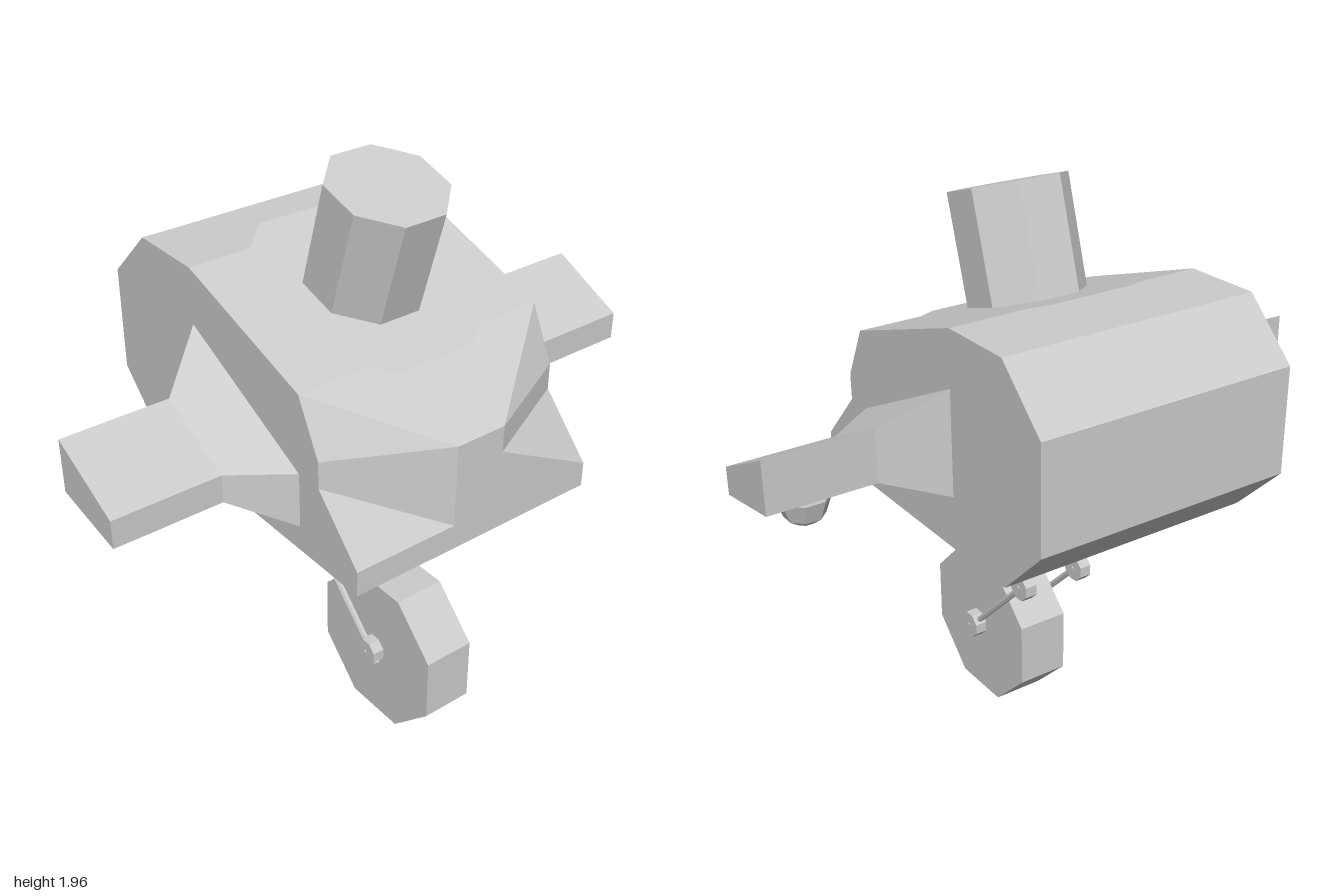
import * as THREE from 'three';

const grey = (side = THREE.FrontSide) =>
  new THREE.MeshStandardMaterial({ color: 0xcccccc, flatShading: true, side });

function mesh(name, geometry, material = grey()) {
  const m = new THREE.Mesh(geometry, material);
  m.name = name;
  return m;
}

// Flat-faced geometry from convex polygons, fanned from their first corner
function polyGeometry(polys) {
  const pos = [];
  for (const p of polys)
    for (let i = 1; i < p.length - 1; i++) pos.push(...p[0], ...p[i], ...p[i + 1]);
  const g = new THREE.BufferGeometry();
  g.setAttribute('position', new THREE.Float32BufferAttribute(pos, 3));
  g.computeVertexNormals();
  return g;
}

const mirrorZ = (polys) => polys.map((p) => p.map(([x, y, z]) => [x, y, -z]).reverse());
const at = (profile, z) => profile.map(([x, y]) => [x, y, z]);

// Strip of quads joining two sections, z1 behind z2
const skin = (a, b) => a.map((p, i) => {
  const j = (i + 1) % a.length;
  return [b[i], p, a[j], b[j]];
});

// Eight-sided prism with flats on the axes; r is the distance to a flat
function octagon(r, length) {
  const R = r / Math.cos(Math.PI / 8);
  return new THREE.CylinderGeometry(R, R, length, 8).rotateY(Math.PI / 8);
}

function rod(name, a, b, r) {
  const d = b.clone().sub(a);
  const m = mesh(name, new THREE.CylinderGeometry(r, r, d.length(), 6));
  m.position.copy(a).add(b).multiplyScalar(0.5);
  m.quaternion.setFromUnitVectors(new THREE.Vector3(0, 1, 0), d.normalize());
  return m;
}

function createHull() {
  const group = new THREE.Group();
  group.name = 'hull';
  const W = 0.455, N = 0.09;
  const side = [
    [-0.455, 0.915], [0.63, 0.915], [0.63, 1.0], [0.45, 1.19], [0.45, 1.28],
    [0.36, 1.46], [-0.185, 1.64], [-0.455, 1.64], [-0.64, 1.46], [-0.64, 1.1],
  ];
  const left = at(side, W), right = at(side, -W);
  const strips = skin(right, left).filter((_, i) => i === 1 || i > 4);
  // Chamfered nose cheek beside the narrow central snout
  const C = [0.63, 1.28, N], E = [0.63, 1.19, N], H = [0.63, 1.0, N];
  const half = [
    left,
    [left[5], left[4], C],
    [left[4], left[3], E, C],
    [left[3], left[2], H, E],
  ];
  const snout = [
    [left[5], C, [0.63, 1.28, -N], right[5]],
    [H, [0.63, 1.0, -N], [0.63, 1.28, -N], C],
  ];
  group.add(mesh('hullShell', polyGeometry([...strips, ...snout, ...half, ...mirrorZ(half)])));

  // Underside with the slot for the wheel struts
  const floor = new THREE.Shape();
  floor.moveTo(-0.455, -W).lineTo(0.63, -W).lineTo(0.63, W).lineTo(-0.455, W).closePath();
  const slot = new THREE.Path();
  slot.moveTo(-0.21, -0.13).lineTo(-0.21, 0.13).lineTo(0.32, 0.13).lineTo(0.32, -0.13).closePath();
  floor.holes.push(slot);
  const under = mesh('underside', new THREE.ShapeGeometry(floor).rotateX(Math.PI / 2));
  under.position.y = 0.915;
  const recess = mesh('strutSlot', new THREE.BoxGeometry(0.53, 0.1, 0.26), grey(THREE.BackSide));
  recess.position.set(0.055, 0.965, 0);
  group.add(under, recess);
  return group;
}

function createWings() {
  const root = [[-0.185, 1.095], [0.36, 1.0], [0.36, 1.19], [-0.185, 1.455]];
  const arm = [[-0.045, 1.14], [0.225, 1.095], [0.225, 1.19], [-0.045, 1.32]];
  const sections = [at(root, 0.45), at(arm, 0.635), at(arm, 1)];
  const polys = [
    ...skin(sections[0], sections[1]), ...skin(sections[1], sections[2]), sections[2],
  ];
  // Small faceted pod hanging under each wing
  const podProfile = [[0, -0.095], [0.035, -0.09], [0.065, -0.068], [0.09, 0], [0.08, 0.03]]
    .map(([x, y]) => new THREE.Vector2(x, y));
  const group = new THREE.Group();
  group.name = 'wings';
  for (const s of [1, -1]) {
    const label = s > 0 ? 'front' : 'rear';
    group.add(mesh(label + 'Wing', polyGeometry(s > 0 ? polys : mirrorZ(polys))));
    const pod = mesh(label + 'WingPod', new THREE.LatheGeometry(podProfile, 8), grey(THREE.DoubleSide));
    pod.rotation.y = Math.PI / 8;
    pod.position.set(0.09, 1.1, s * 0.82);
    group.add(pod);
  }
  return group;
}

function createTurret() {
  const group = new THREE.Group();
  group.name = 'turret';
  // Thin octagonal plate lying on the sloping roof
  const R = 0.36 / Math.cos(Math.PI / 8);
  const plate = mesh('turretPlate',
    new THREE.CircleGeometry(R, 8, Math.PI / 8).rotateX(-Math.PI / 2), grey(THREE.DoubleSide));
  plate.rotation.z = -0.319;
  plate.position.set(0.078, 1.557, 0);
  // Leaning drum above it
  const drum = mesh('turretDrum', octagon(0.18, 0.363));
  drum.rotation.z = -0.295;
  drum.position.set(0.133, 1.735, 0);
  group.add(plate, drum);
  return group;
}

function createLandingWheel() {
  const group = new THREE.Group();
  group.name = 'landingWheel';
  const wheel = mesh('wheel', octagon(0.272, 0.18).rotateX(Math.PI / 2));
  wheel.position.set(0.27, 0.272, 0);
  group.add(wheel);
  for (const s of [1, -1]) {
    const z = s * 0.11;
    const v = (x, y) => new THREE.Vector3(x, y, z);
    // Knee joint and wheel hub, each with a pin
    for (const [name, x, y] of [['knee', -0.05, 0.595], ['hub', 0.27, 0.277]]) {
      const joint = mesh(name, octagon(0.045, 0.042).rotateX(Math.PI / 2));
      joint.position.set(x, y, s * 0.113);
      const pin = mesh(name + 'Pin', octagon(0.006, 0.05).rotateX(Math.PI / 2));
      pin.position.copy(joint.position);
      group.add(joint, pin);
    }
    group.add(rod('upperStrut', v(0.31, 0.945), v(-0.05, 0.595), 0.011));
    group.add(rod('lowerStrut', v(-0.05, 0.595), v(0.305, 0.24), 0.011));
  }
  return group;
}

export function createModel() {
  const model = new THREE.Group();
  model.name = 'hoverCraft';
  model.add(createHull(), createWings(), createTurret(), createLandingWheel());
  return model;
}
